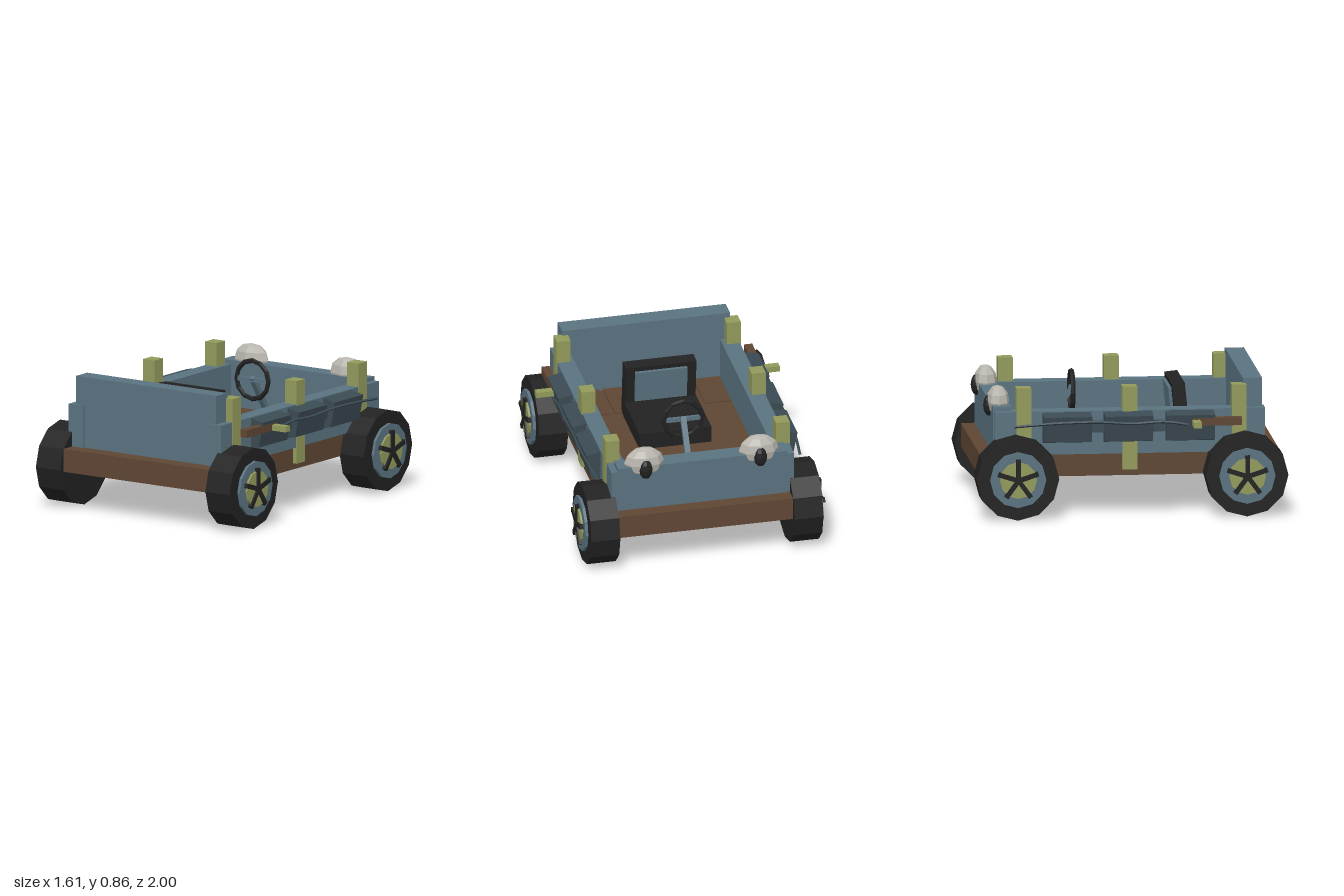
import * as THREE from 'three';

const mat = (name, color) => {
  const m = new THREE.MeshStandardMaterial({ color, flatShading: true });
  m.name = name;
  return m;
};

export function createModel() {
  const slate = mat('slate', 0x5a7380);
  const darkSlate = mat('dark slate', 0x3b4b53);
  const brown = mat('brown', 0x5f4634);
  const olive = mat('olive', 0x929a5b);
  const black = mat('black', 0x222222);
  const pale = mat('pale grey', 0xb8b5ad);

  const model = new THREE.Group();
  model.name = 'buggy';

  const add = (parent, name, geo, material, x = 0, y = 0, z = 0) => {
    const m = new THREE.Mesh(geo, material);
    m.name = name;
    m.position.set(x, y, z);
    parent.add(m);
    return m;
  };
  // box given by its extents
  const box = (parent, name, material, [x0, x1], [y0, y1], [z0, z1]) =>
    add(parent, name, new THREE.BoxGeometry(x1 - x0, y1 - y0, z1 - z0), material,
      (x0 + x1) / 2, (y0 + y1) / 2, (z0 + z1) / 2);
  // extents mirrored to either side
  const span = (s, a, b) => (s > 0 ? [a, b] : [-b, -a]);

  // chassis and body panels
  box(model, 'chassis', brown, [-0.575, 0.575], [0.25, 0.4], [-0.96, 0.96]);
  box(model, 'tailPanel', slate, [-0.55, 0.55], [0.395, 0.86], [0.73, 0.853]);
  box(model, 'nosePanel', slate, [-0.555, 0.555], [0.395, 0.7], [-0.873, -0.753]);

  // rear floor planks
  for (let i = -2; i <= 2; i++)
    box(model, 'floorPlank', brown, [i * 0.197 - 0.085, i * 0.197 + 0.085], [0.39, 0.41], [0.4, 0.74]);

  // hanging side panel cross-section
  const section = new THREE.Shape([[0.59, 0.47], [0.66, 0.485], [0.692, 0.65], [0.59, 0.67]]
    .map(([x, y]) => new THREE.Vector2(x, y)));
  const panelGeo = new THREE.ExtrudeGeometry(section, { depth: 0.31, bevelEnabled: false });

  for (const s of [1, -1]) {
    const side = new THREE.Group();
    side.name = s > 0 ? 'leftSide' : 'rightSide';
    model.add(side);

    box(side, 'sideWall', slate, span(s, 0.485, 0.598), [0.395, 0.675], [-0.865, 0.867]);
    box(side, 'sideRail', darkSlate, span(s, 0.59, 0.635), [0.54, 0.61], [-0.5, 0.5]);
    for (const z of [0.7, 0, -0.68])
      box(side, 'post', olive, span(s, 0.512, 0.603), [0.29, 0.828], [z - 0.047, z + 0.047]);

    for (const z of [0.383, -0.013, -0.405]) {
      // the section is symmetric along z, so the right copy is a half turn
      const p = add(side, 'sidePanel', panelGeo, darkSlate, 0, 0, z - s * 0.155);
      if (s < 0) p.rotation.y = Math.PI;
    }

    // strap woven along the panels
    const strap = new THREE.CatmullRomCurve3([
      [0.695, 0.59, 0.36], [0.69, 0.61, 0.22], [0.685, 0.6, 0], [0.69, 0.615, -0.2],
      [0.688, 0.61, -0.5], [0.665, 0.59, -0.75],
    ].map(([x, y, z]) => new THREE.Vector3(s * x, y, z)));
    add(side, 'strap', new THREE.TubeGeometry(strap, 14, 0.009, 4), darkSlate);

    // tool with a crossways head
    box(side, 'toolHandle', brown, span(s, 0.637, 0.69), [0.58, 0.63], [0.4, 0.71]);
    box(side, 'toolHead', olive, span(s, 0.64, 0.797), [0.583, 0.62], [0.39, 0.44]);

    // headlight
    const light = new THREE.Group();
    light.name = 'headlight';
    light.position.set(s * 0.375, 0.71, -0.825);
    side.add(light);
    add(light, 'lampShell', new THREE.SphereGeometry(1, 8, 6), pale).scale.set(0.13, 0.103, 0.075);
    add(light, 'lampLens', new THREE.SphereGeometry(1, 8, 6), black, 0, -0.025, -0.055).scale.set(0.045, 0.07, 0.038);

    // wheels, built facing +x
    for (const z of [0.735, -0.735]) {
      const wheel = new THREE.Group();
      wheel.name = 'wheel';
      wheel.position.set(s * 0.665, 0.265, z);
      if (s < 0) wheel.rotation.y = Math.PI;
      side.add(wheel);
      const disc = (name, r, x0, x1, material) => {
        const g = new THREE.CylinderGeometry(r, r, x1 - x0, 12).rotateZ(-Math.PI / 2);
        add(wheel, name, g, material, (x0 + x1) / 2);
      };
      disc('tyre', 0.265, -0.095, 0.095, black);
      disc('rim', 0.18, 0.05, 0.114, slate);
      disc('hub', 0.118, 0.08, 0.127, olive);
      for (let i = 0; i < 5; i++) {
        const g = new THREE.BoxGeometry(0.03, 0.135, 0.03).translate(0, 0.0675, 0);
        add(wheel, 'spoke', g, black, 0.123).rotation.x = i * Math.PI * 0.4;
      }
    }
  }

  // seat
  const seat = new THREE.Group();
  seat.name = 'seat';
  model.add(seat);
  box(seat, 'cushion', black, [-0.235, 0.235], [0.39, 0.51], [-0.1, 0.36]);
  const back = new THREE.Group();
  back.name = 'backrest';
  back.position.set(0, 0.59, 0.368);
  back.rotation.x = -0.1;
  seat.add(back);
  box(back, 'backPad', black, [-0.232, 0.232], [-0.19, 0.185], [-0.042, 0.042]);
  box(back, 'backPlate', slate, [-0.17, 0.17], [-0.06, 0.155], [-0.062, -0.04]);

  // steering wheel and column
  const steering = new THREE.Group();
  steering.name = 'steering';
  model.add(steering);
  add(steering, 'steeringWheel', new THREE.TorusGeometry(0.125, 0.016, 6, 12), black, 0, 0.705, -0.312);
  box(steering, 'steeringSpoke', slate, [-0.12, 0.12], [0.69, 0.72], [-0.32, -0.304]);
  const top = new THREE.Vector3(0, 0.72, -0.31), foot = new THREE.Vector3(0, 0.4, -0.52);
  const column = add(steering, 'steeringColumn', new THREE.BoxGeometry(0.036, 0.03, top.distanceTo(foot)), slate);
  column.position.copy(top).add(foot).multiplyScalar(0.5);
  column.lookAt(top);

  return model;
}
